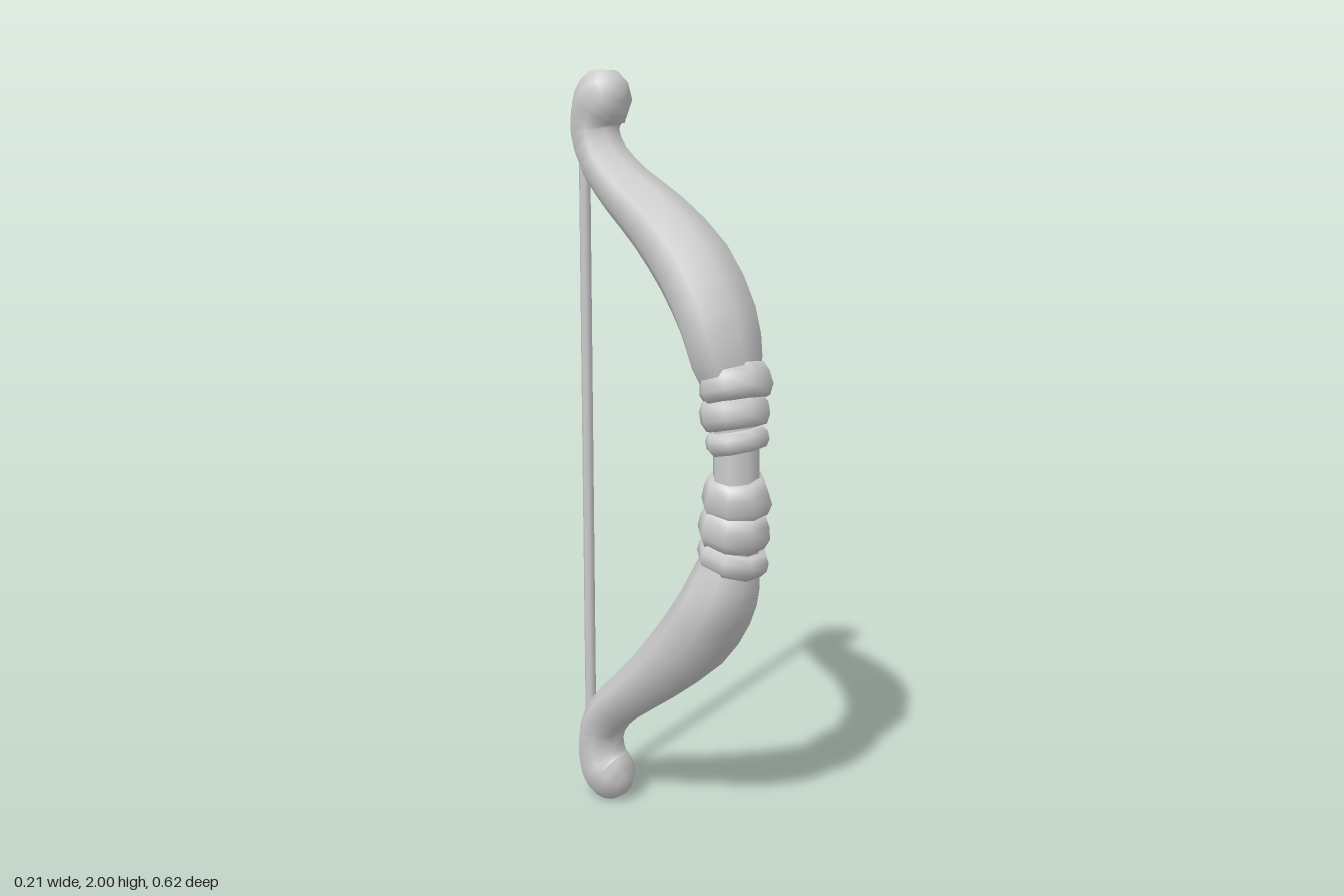
import * as THREE from 'three';

const SIDES = 8;
const FIT = 1 / Math.cos(Math.PI / SIDES); // flats, not corners, face the axes

const grey = new THREE.MeshStandardMaterial({ color: 0xcccccc });
grey.name = 'light grey';

// Adds an in-between ring to every span, following a smooth curve
function refine(rings) {
  const curve = new THREE.CubicInterpolant(rings.map((_, i) => i), rings.flat(), 4);
  return Array.from({ length: rings.length * 2 - 1 }, (_, i) => Array.from(curve.evaluate(i / 2)));
}

// Lofts octagonal rings along a path in the yz plane. Ring: [y, z, half depth, half width]
function loft(rings) {
  const positions = [];
  const index = [];
  rings.forEach(([y, z, depth, width], i) => {
    const a = rings[Math.max(i - 1, 0)];
    const b = rings[Math.min(i + 1, rings.length - 1)];
    const t = new THREE.Vector2(b[0] - a[0], b[1] - a[1]).normalize();
    for (let j = 0; j < SIDES; j++) {
      const angle = ((j + 0.5) / SIDES) * Math.PI * 2;
      const n = Math.sin(angle) * depth * FIT;
      positions.push(Math.cos(angle) * width * FIT, y + t.y * n, z - t.x * n);
    }
  });
  for (let i = 0; i < rings.length - 1; i++) {
    for (let j = 0; j < SIDES; j++) {
      const a = i * SIDES + j;
      const b = i * SIDES + ((j + 1) % SIDES);
      index.push(a, b, b + SIDES, a, b + SIDES, a + SIDES);
    }
  }
  // close both ends
  const last = (rings.length - 1) * SIDES;
  for (let j = 1; j < SIDES - 1; j++) {
    index.push(0, j + 1, j, last, last + j, last + j + 1);
  }
  const geometry = new THREE.BufferGeometry();
  geometry.setAttribute('position', new THREE.Float32BufferAttribute(positions, 3));
  geometry.setIndex(index);
  geometry.computeVertexNormals();
  return geometry;
}

// Rounded barrel used for each turn of the grip wrap; top scales its upper rim
function wrapGeometry(width, depth, height, top) {
  const h = height / 2;
  const profile = [[0.5, -h], [0.87, -h * 0.9], [1, -h * 0.35], [top, h * 0.35], [0.87 * top, h * 0.9], [0.5, h]]
    .map(([r, y]) => new THREE.Vector2(r * FIT, y));
  return new THREE.LatheGeometry(profile, SIDES, Math.PI / SIDES).scale(width, 1, depth);
}

export function createModel() {
  const group = new THREE.Group();
  group.name = 'bow';
  const add = (name, geometry) => {
    const mesh = new THREE.Mesh(geometry, grey);
    mesh.name = name;
    group.add(mesh);
    return mesh;
  };

  // Round, forward-curling knob at the end of each limb
  const knob = [
    [1.895, -0.238, 0.068, 0.067],
    [1.925, -0.218, 0.075, 0.07],
    [1.942, -0.188, 0.066, 0.063],
    [1.951, -0.166, 0.048, 0.047],
    [1.956, -0.148, 0.02, 0.02],
  ];

  add('upperLimb', loft(refine([
    [1.21, 0.212, 0.062, 0.07],
    [1.28, 0.193, 0.083, 0.095],
    [1.385, 0.163, 0.091, 0.107],
    [1.51, 0.086, 0.093, 0.101],
    [1.62, -0.03, 0.08, 0.089],
    [1.697, -0.135, 0.067, 0.079],
    [1.772, -0.213, 0.06, 0.072],
    [1.845, -0.246, 0.06, 0.067],
    ...knob,
  ])));

  add('lowerLimb', loft(refine([
    [0.79, 0.21, 0.065, 0.072],
    [0.72, 0.197, 0.082, 0.089],
    [0.635, 0.163, 0.089, 0.107],
    [0.525, 0.086, 0.09, 0.101],
    [0.388, -0.055, 0.072, 0.085],
    [0.288, -0.175, 0.06, 0.075],
    [0.218, -0.232, 0.057, 0.069],
    [0.155, -0.246, 0.06, 0.067],
    ...knob.map(([y, z, d, w]) => [2 - y, z, d, w]),
  ])));

  // Handle core
  const core = new THREE.CylinderGeometry(0.056 * FIT, 0.056 * FIT, 0.5, SIDES, 1, false, Math.PI / SIDES);
  add('handle', core).position.set(-0.006, 1, 0.229);

  // Grip wraps: x, y, z, half width, half depth, height, top rim, pitch, roll
  [
    [0.002, 1.23, 0.218, 0.093, 0.089, 0.095, 0.95, -0.26, -0.08],
    [-0.002, 1.155, 0.219, 0.083, 0.085, 0.085, 1, -0.22, -0.03],
    [-0.004, 1.087, 0.23, 0.079, 0.076, 0.06, 1, -0.2, 0.06],
    [0, 0.945, 0.226, 0.084, 0.087, 0.105, 0.9, 0.12, 0.22],
    [0, 0.86, 0.22, 0.086, 0.09, 0.1, 0.95, 0.16, 0.1],
    [0.002, 0.78, 0.215, 0.087, 0.088, 0.07, 1, 0.25, -0.01],
  ].forEach(([x, y, z, width, depth, height, top, pitch, roll], i) => {
    const wrap = add(`gripWrap${i + 1}`, wrapGeometry(width, depth, height, top));
    wrap.position.set(x, y, z);
    wrap.rotation.set(pitch, 0, roll);
  });

  // Bowstring
  add('bowstring', new THREE.CylinderGeometry(0.015, 0.015, 1.66, 8)).position.set(0, 1, -0.285);

  return group;
}
